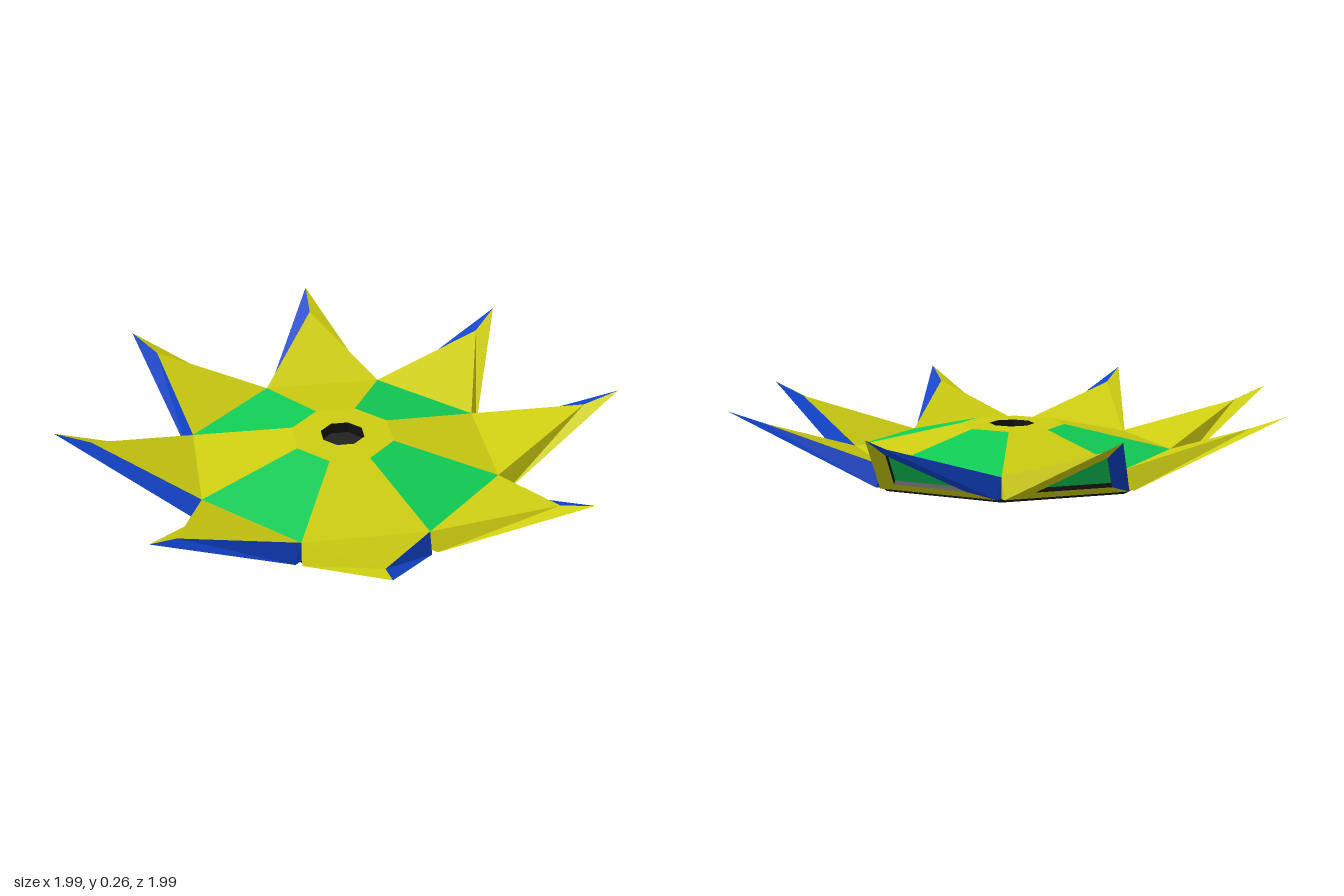
import * as THREE from 'three';

const material = (color) =>
  new THREE.MeshStandardMaterial({ color, flatShading: true, side: THREE.DoubleSide });
const yellow = material(0xcccc11);
const green = material(0x11cc55);
const blue = material(0x1144cc);
const black = material(0x111111);
const charcoal = material(0x222222);

const SIDES = 8;
const HALF = Math.PI / SIDES;
const RIM = 0.515, RIM_Y = 0.083;

// One mesh from a few convex polygons, listed counter-clockwise
function faces(name, mat, ...polygons) {
  const pos = [];
  for (const p of polygons)
    for (let i = 1; i < p.length - 1; i++) pos.push(...p[0], ...p[i], ...p[i + 1]);
  const geo = new THREE.BufferGeometry();
  geo.setAttribute('position', new THREE.Float32BufferAttribute(pos, 3));
  geo.computeVertexNormals();
  const mesh = new THREE.Mesh(geo, mat);
  mesh.name = name;
  return mesh;
}

// Corner of one octagon side facing +z: s = -1 or 1, apothem r, height y
const corner = (s, r, y) => [s * r * Math.tan(HALF), y, r];

// One sector of the sloping hub
function hubSector(i) {
  const g = new THREE.Group();
  g.name = 'hubSector';
  const strip = (name, mat, r0, y0, r1, y1) => faces(name, mat,
    [corner(-1, r0, y0), corner(1, r0, y0), corner(1, r1, y1), corner(-1, r1, y1)]);
  g.add(strip('hubPanel', i % 2 ? yellow : green, RIM, RIM_Y, 0.17, 0.168));
  g.add(strip('hubRing', yellow, 0.17, 0.168, 0.073, 0.17));
  g.add(strip('holeWall', black, 0.073, 0.17, 0.073, 0.13));
  return g;
}

// One upturned point of the star, facing +z
function starPoint() {
  const g = new THREE.Group();
  g.name = 'starPoint';
  const tip = [0, 0.26, 0.995], apex = [0, 0.213, 0.872];
  const top = (s) => corner(s, RIM, RIM_Y);
  const inner = (s) => corner(s, RIM, 0.012);
  const low = (s) => [s * 0.215, 0.015, 0.55];

  // Window in the sloping underside, and its recessed copy
  const slope = (x, y) => [x, y, 0.55 + (y - 0.015) * (tip[2] - 0.55) / (tip[1] - 0.015)];
  const recess = ([x, y, z]) => [x, y + 0.013, z - 0.007];
  const w0 = slope(0, 0.195), w = (s) => slope(s * 0.13, 0.045);

  g.add(faces('topPanel', yellow, [top(1), top(-1), apex]));
  g.add(faces('lowerBar', yellow,
    [low(-1), low(1), w(1), w(-1)],
    [low(-1), inner(-1), inner(1), low(1)]));
  g.add(faces('undersidePanel', green, [recess(w0), recess(w(-1)), recess(w(1))]));
  g.add(faces('windowSill', black, [w(-1), w(1), recess(w(1)), recess(w(-1))]));

  // Mirrored arms: the left one is blue, the right one yellow
  for (const s of [1, -1]) {
    const turn = (p) => (s > 0 ? p : p.reverse());
    g.add(faces(s > 0 ? 'leftArm' : 'rightArm', s > 0 ? blue : yellow,
      turn([tip, low(s), apex]),
      turn([apex, low(s), top(s)]),
      turn([low(s), inner(s), top(s)]),
      turn([tip, w0, w(s), low(s)])));
    g.add(faces('windowEdge', black, turn([w0, recess(w0), recess(w(s)), w(s)])));
  }
  return g;
}

export function createModel() {
  const model = new THREE.Group();
  model.name = 'star';

  for (let i = 0; i < SIDES; i++) {
    for (const part of [hubSector(i), starPoint()]) {
      part.rotation.y = i * 2 * HALF;
      model.add(part);
    }
  }

  // Floor of the centre hole
  const floor = new THREE.Mesh(new THREE.CircleGeometry(0.073 / Math.cos(HALF), SIDES), charcoal);
  floor.geometry.rotateX(-Math.PI / 2).rotateY(HALF).translate(0, 0.13, 0);
  floor.name = 'holeFloor';
  model.add(floor);

  // Thin base plate
  const r = 0.512 / Math.cos(HALF);
  const base = new THREE.Mesh(new THREE.CylinderGeometry(r, r, 0.014, SIDES), black);
  base.geometry.rotateY(HALF).translate(0, 0.007, 0);
  base.name = 'basePlate';
  model.add(base);

  return model;
}
